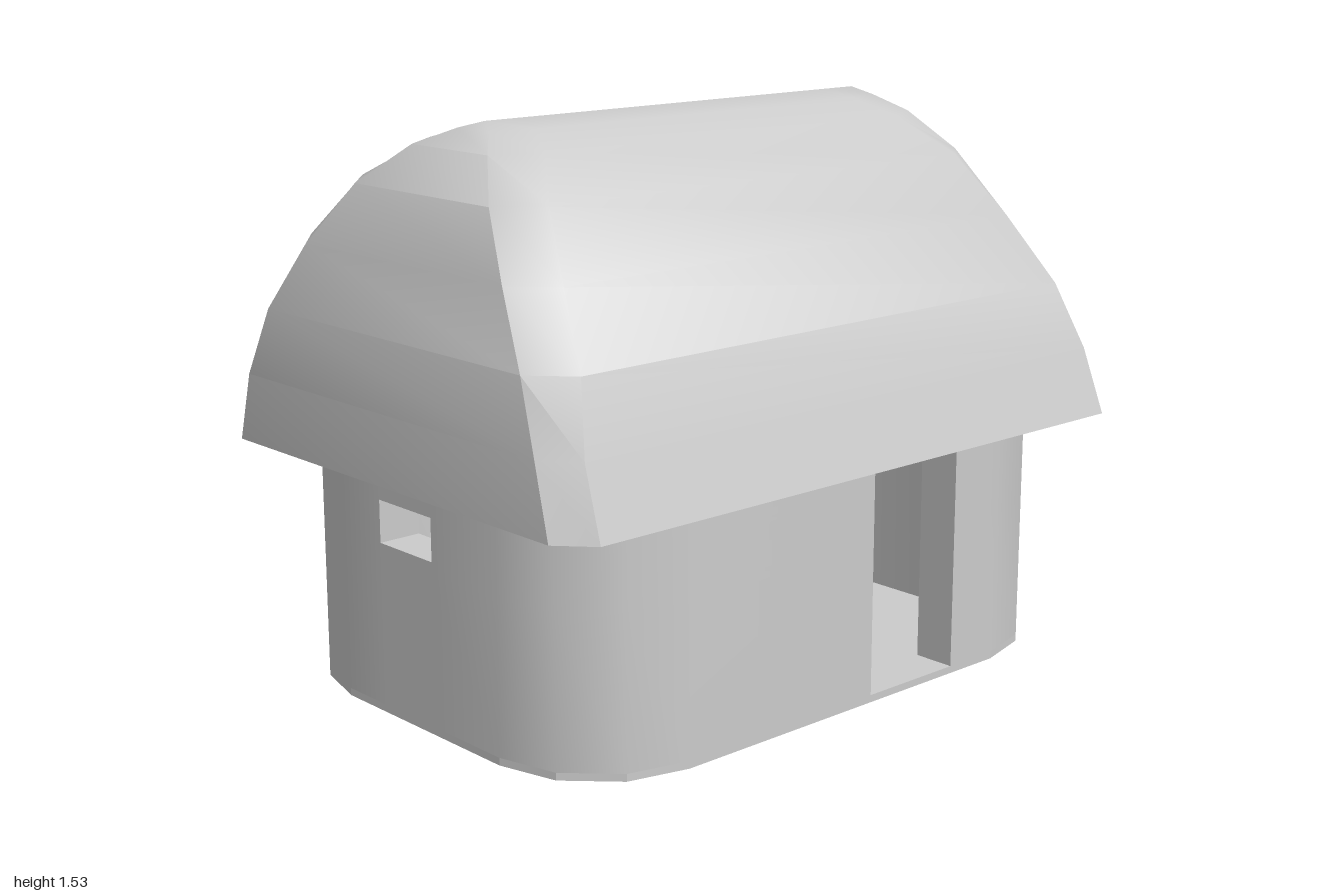
import * as THREE from 'three';
import { toCreasedNormals } from 'three/addons/utils/BufferGeometryUtils.js';

const material = new THREE.MeshStandardMaterial({ color: 0xcccccc, side: THREE.DoubleSide });

// Collects quads into a geometry whose gentle bends are smooth
function quadBuilder() {
  const pos = [];
  return {
    quad(a, b, c, d) { pos.push(...a, ...b, ...c, ...a, ...c, ...d); },
    build(crease) {
      const g = new THREE.BufferGeometry();
      g.setAttribute('position', new THREE.Float32BufferAttribute(pos, 3));
      g.computeVertexNormals();
      return toCreasedNormals(g, crease);
    },
  };
}

function add(group, name, geometry) {
  const mesh = new THREE.Mesh(geometry, material);
  mesh.name = name;
  group.add(mesh);
  return mesh;
}

// Plan of the house: centre lines of the corner arcs, radius and wall thickness
const CX = 0.57, CZ = 0.32, R = 0.33, THICK = 0.12;

// Stations around the walls, with breaks at the opening edges
function wallStations() {
  const st = [];
  const corner = (sx, sz, start, angles = [0, 30, 60, 90]) => angles.forEach((a) => {
    const t = THREE.MathUtils.degToRad(start + a);
    st.push({ x: sx * CX, z: sz * CZ, nx: Math.cos(t), nz: Math.sin(t) });
  });
  corner(1, 1, 0);
  for (const x of [0.4, 0.08]) st.push({ x, z: CZ, nx: 0, nz: 1 });
  corner(-1, 1, 90);
  for (const z of [0.06, -0.16]) st.push({ x: -CX, z, nx: -1, nz: 0 });
  corner(-1, -1, 180);
  for (const x of [-0.02, 0.115]) st.push({ x, z: -CZ, nx: 0, nz: -1 });
  corner(1, -1, 270, [0, 24, 48.2, 69, 90]);
  st.push({ x: CX, z: -0.08, nx: 1, nz: 0 });
  return st;
}

const at = (s, r, y) => [s.x + s.nx * r, y, s.z + s.nz * r];
const between = (v, a, b) => v > a && v < b;

// True where the wall is cut by the doorway or a window
function isOpen(x, y, z) {
  if (z > 0.6) return between(x, 0.08, 0.4) && between(y, 0.02, 0.65);
  if (x < -0.85) return between(z, -0.16, 0.06) && between(y, 0.46, 0.575);
  if (z < -0.6) return between(x, -0.02, 0.115) && between(y, 0.46, 0.59);
  if (x > 0.7) return between(z, -0.55, -0.08) && between(y, 0.43, 0.625);
  return false;
}

function wallGeometry() {
  const st = wallStations(), n = st.length;
  const ys = [0.02, 0.43, 0.46, 0.575, 0.59, 0.625, 0.65, 0.75];
  const inner = R - THICK;
  const solid = (i, j) => {
    if (j < 0 || j >= ys.length - 1) return false;
    const a = at(st[(i + n) % n], R, 0), b = at(st[(i + 1 + n) % n], R, 0);
    return !isOpen((a[0] + b[0]) / 2, (ys[j] + ys[j + 1]) / 2, (a[2] + b[2]) / 2);
  };
  const q = quadBuilder();
  for (let i = 0; i < n; i++) {
    for (let j = 0; j < ys.length - 1; j++) {
      if (!solid(i, j)) continue;
      const s = st[i], e = st[(i + 1) % n], lo = ys[j], hi = ys[j + 1];
      const o0 = at(s, R, lo), o1 = at(e, R, lo), O0 = at(s, R, hi), O1 = at(e, R, hi);
      const i0 = at(s, inner, lo), i1 = at(e, inner, lo), I0 = at(s, inner, hi), I1 = at(e, inner, hi);
      q.quad(o0, O0, O1, o1);
      q.quad(i1, I1, I0, i0);
      // reveals around the openings, and the top of the wall
      if (!solid(i + 1, j)) q.quad(o1, O1, I1, i1);
      if (!solid(i - 1, j)) q.quad(i0, I0, O0, o0);
      if (!solid(i, j + 1)) q.quad(O0, I0, I1, O1);
      if (!solid(i, j - 1)) q.quad(o1, i1, i0, o0);
    }
  }
  return q.build(0.6);
}

// Roof levels: height, front z, back z, half length, half length of front slope, end width factor
const ROOF = [
  [0.66, 0.735, -0.735, 1.0, 0.92, 0.88],
  [0.84, 0.67, -0.712, 0.985, 0.91, 0.87],
  [1.02, 0.60, -0.675, 0.955, 0.86, 0.83],
  [1.20, 0.47, -0.58, 0.90, 0.80, 0.78],
  [1.365, 0.335, -0.435, 0.838, 0.73, 0.72],
  [1.47, 0.20, -0.27, 0.755, 0.63, 0.66],
  [1.515, 0.09, -0.12, 0.69, 0.57, 0.6],
  [1.535, 0, 0, 0.66, 0.55, 0.6],
];

function roofLoop([y, f, b, X, C, w], inset) {
  const zf = Math.max(f - inset, 0), zb = Math.min(b + inset, 0);
  const x = X - inset, c = C - inset;
  const h = y > 0.7 ? y - inset : y;
  return [[x, zf * w], [c, zf], [-c, zf], [-x, zf * w], [-x, zb * w], [-c, zb], [c, zb], [x, zb * w]]
    .map(([px, pz]) => [px, h, pz]);
}

// Thin thatch shell: down the inside, across the rim and up the outside
function roofGeometry() {
  const loops = [
    ...[...ROOF].reverse().map((l) => roofLoop(l, 0.03)),
    ...ROOF.map((l) => roofLoop(l, 0)),
  ];
  const q = quadBuilder();
  for (let k = 0; k < loops.length - 1; k++) {
    for (let i = 0; i < 8; i++) {
      const j = (i + 1) % 8;
      q.quad(loops[k][i], loops[k + 1][i], loops[k + 1][j], loops[k][j]);
    }
  }
  return q.build(0.7);
}

function floorGeometry() {
  const pts = wallStations().map((s) => at(s, R, 0)).map(([x, , z]) => new THREE.Vector2(x, -z));
  const g = new THREE.ExtrudeGeometry(new THREE.Shape(pts), { depth: 0.02, bevelEnabled: false });
  return g.rotateX(-Math.PI / 2);
}

function rect(path, x0, y0, x1, y1) {
  path.moveTo(x0, y0).lineTo(x1, y0).lineTo(x1, y1).lineTo(x0, y1).closePath();
  return path;
}

// Tall cupboard standing against the inside of the back wall
function cupboardGeometry() {
  const shape = rect(new THREE.Shape(), 0.13, 0.02, 0.42, 0.65);
  for (let k = 0; k < 3; k++) {
    const y = 0.28 + k * 0.122;
    shape.holes.push(rect(new THREE.Path(), 0.165, y, 0.385, y + 0.085));
  }
  return new THREE.ExtrudeGeometry(shape, { depth: 0.08, bevelEnabled: false });
}

export function createModel() {
  const house = new THREE.Group();
  house.name = 'house';
  add(house, 'floor', floorGeometry());
  add(house, 'walls', wallGeometry());
  add(house, 'roof', roofGeometry());
  add(house, 'cupboard', cupboardGeometry()).position.z = -0.53;
  return house;
}
